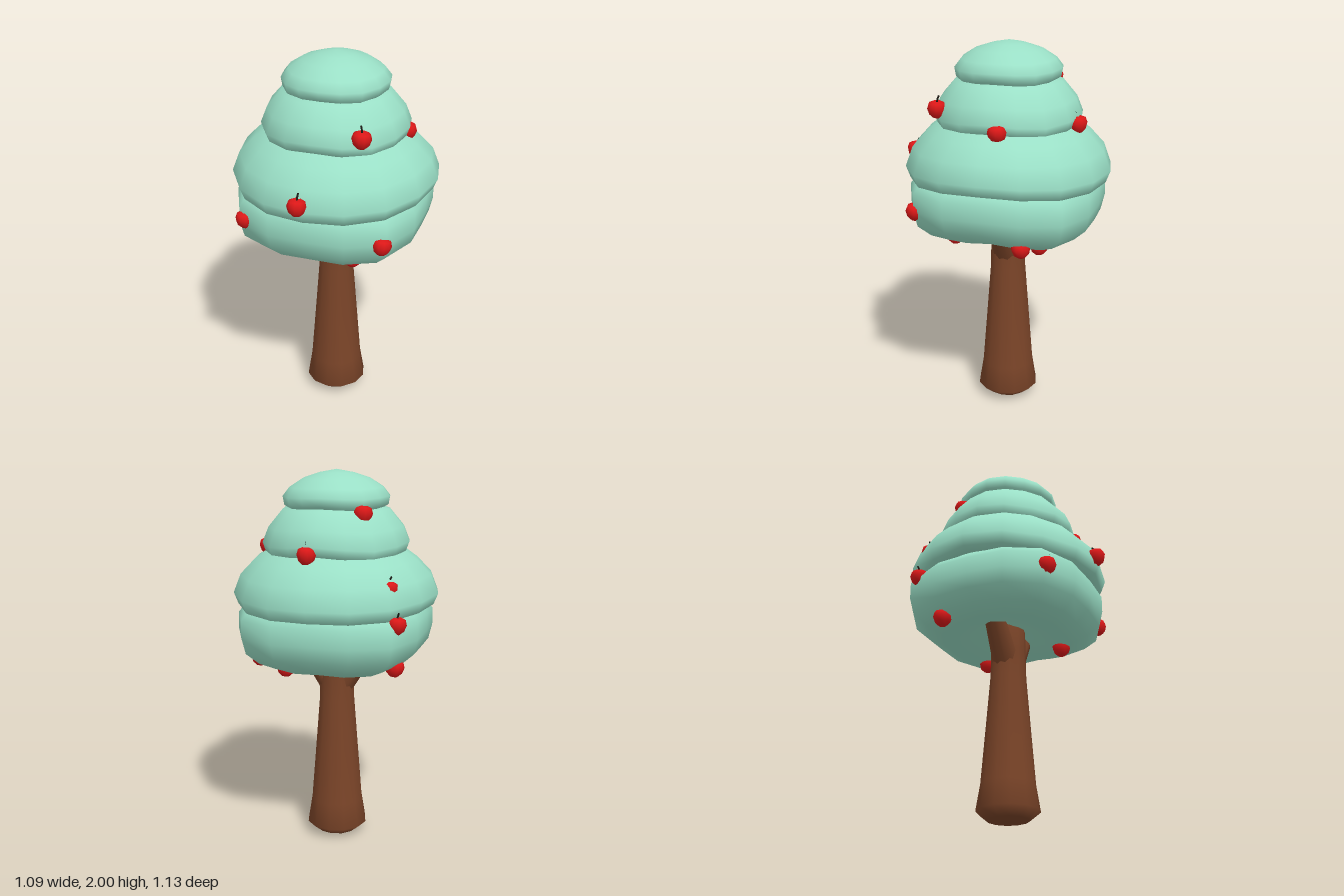
import * as THREE from 'three';
import { mergeVertices } from 'three/addons/utils/BufferGeometryUtils.js';

const V = (x, y, z) => new THREE.Vector3(x, y, z);
const paint = (color) => new THREE.MeshStandardMaterial({ color, roughness: 0.9 });

// Lathe with an optional vertex rule, welded so its seam shades smoothly
function turned(profile, sides, rule) {
  const geo = new THREE.LatheGeometry(profile.map(([r, y]) => new THREE.Vector2(r, y)), sides);
  geo.deleteAttribute('uv');
  geo.deleteAttribute('normal');
  const p = geo.attributes.position, v = V(0, 0, 0);
  for (let i = 0; rule && i < p.count; i++) {
    v.fromBufferAttribute(p, i);
    rule(v);
    p.setXYZ(i, v.x, v.y, v.z);
  }
  const welded = mergeVertices(geo, 1e-5);
  welded.computeVertexNormals();
  return welded;
}

function add(parent, name, geo, mat) {
  const mesh = new THREE.Mesh(geo, mat);
  mesh.name = name;
  parent.add(mesh);
  return mesh;
}

// Leaf tier: drooping wavy hem, optional squarish outline
function tierGeometry({ profile, wave, sway, square }) {
  const ys = profile.map((q) => q[1]);
  const low = Math.min(...ys), height = Math.max(...ys) - low;
  return turned(profile, 16, (v) => {
    const a = Math.atan2(v.x, v.z);
    const hem = Math.hypot(v.x, v.z) < 0.01 ? 0 : 1 - (v.y - low) / height;
    const k = 1 - square * Math.cos(4 * a);
    v.x *= k;
    v.z *= k;
    v.y += hem * (wave * Math.cos(4 * a) - sway * Math.cos(2 * a));
  });
}

export function createModel() {
  const tree = new THREE.Group();
  tree.name = 'fruitTree';
  const leaf = paint(0x9adfc6), bark = paint(0x7a4428), red = paint(0xdd1818), dark = paint(0x1c1a14);

  // Trunk
  const trunk = new THREE.Group();
  trunk.name = 'trunk';
  trunk.position.z = -0.015;
  tree.add(trunk);
  add(trunk, 'trunkStem', turned([[0, 0], [0.11, 0.015], [0.165, 0.06], [0.142, 0.2], [0.118, 0.5],
    [0.096, 0.78], [0.093, 0.92], [0.09, 1.15], [0, 1.15]], 12), bark);

  // Two short boughs spreading under the leaves
  for (const side of [-1, 1]) {
    const from = V(side * 0.02, 0.86, 0), to = V(side * 0.2, 1.1, 0);
    const bough = add(trunk, side > 0 ? 'leftBough' : 'rightBough',
      new THREE.CylinderGeometry(0.05, 0.075, from.distanceTo(to), 10), bark);
    bough.position.copy(from).lerp(to, 0.5);
    bough.quaternion.setFromUnitVectors(V(0, 1, 0), to.sub(from).normalize());
  }

  // Foliage tiers, bottom to top
  const tiers = [
    { wave: 0.008, sway: 0.012, square: 0.06, profile: [[0, 1.07], [0.12, 1.05], [0.24, 1.0], [0.34, 0.99],
      [0.43, 1.03], [0.5, 1.09], [0.52, 1.17], [0.52, 1.26], [0.48, 1.31], [0.3, 1.38], [0, 1.42]] },
    { wave: 0.008, sway: 0.015, square: 0, profile: [[0, 1.36], [0.4, 1.31], [0.47, 1.29], [0.52, 1.3],
      [0.543, 1.36], [0.505, 1.46], [0.43, 1.54], [0.35, 1.6], [0.2, 1.66], [0, 1.68]] },
    { wave: 0.014, sway: 0, square: 0, profile: [[0, 1.63], [0.28, 1.58], [0.33, 1.57], [0.37, 1.58],
      [0.387, 1.63], [0.355, 1.71], [0.28, 1.8], [0.15, 1.85], [0, 1.87]] },
    { wave: 0.006, sway: 0, square: 0, profile: [[0, 1.83], [0.17, 1.8], [0.23, 1.795], [0.272, 1.82],
      [0.28, 1.865], [0.245, 1.91], [0.175, 1.955], [0.09, 1.983], [0, 2]] },
  ];
  tiers.forEach((t, i) => {
    add(tree, 'leafTier' + (i + 1), tierGeometry(t), leaf).position.z = -0.02;
  });

  // Fruit scattered over the tiers
  const fruitGeo = turned([[0, -0.036], [0.02, -0.043], [0.04, -0.025], [0.05, 0.006],
    [0.042, 0.032], [0.02, 0.042], [0, 0.03]], 10);
  const stemGeo = new THREE.TubeGeometry(new THREE.QuadraticBezierCurve3(
    V(0, 0.025, 0), V(0, 0.05, 0), V(0.012, 0.068, 0)), 4, 0.005, 5);
  const spots = [
    [0.23, 1.67, 0.29], [-0.02, 1.38, 0.515], [-0.36, 1.19, 0.37], [0.365, 1.16, 0.37],
    [0.36, 1.6, -0.07], [0.045, 1.6, -0.395], [-0.19, 1.79, -0.21], [-0.35, 1.44, -0.32],
    [-0.4, 1.27, -0.35], [0.37, 1.02, -0.195], [-0.365, 1.02, -0.22], [0.17, 0.98, 0.225],
    [0.21, 0.985, -0.245],
  ];
  for (const [x, y, z] of spots) {
    const fruit = new THREE.Group();
    fruit.name = 'fruit';
    fruit.position.set(x, y, z);
    fruit.rotation.set(-0.25 * z, x * 7 + z * 3, 0.25 * x);
    add(fruit, 'fruitBody', fruitGeo, red);
    add(fruit, 'fruitStem', stemGeo, dark);
    tree.add(fruit);
  }
  return tree;
}
